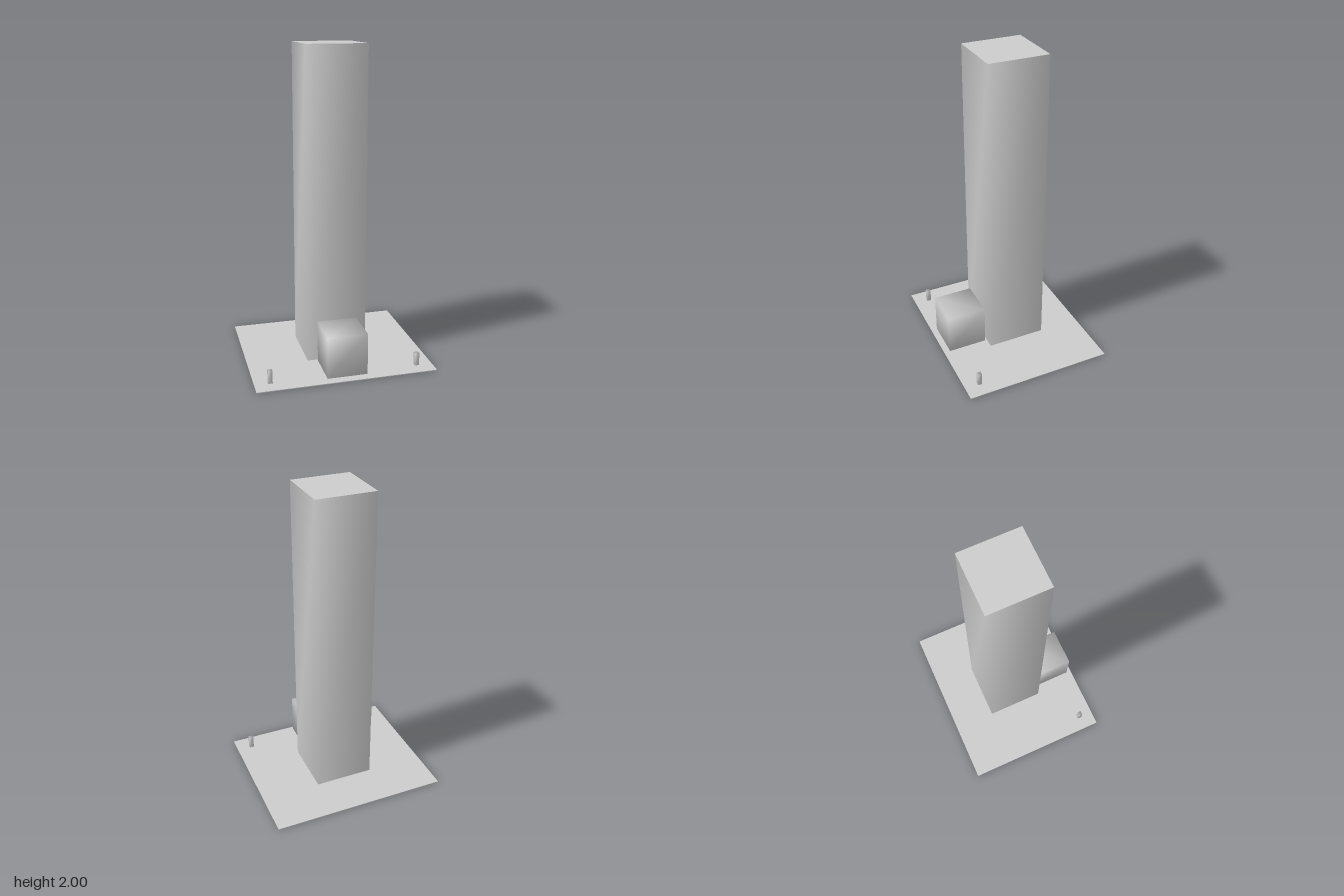
import * as THREE from 'three';
import { mergeVertices } from 'three/addons/utils/BufferGeometryUtils.js';

// Box given by its extents; soft boxes share normals across their corners.
function block(name, [x0, x1], [y0, y1], [z0, z1], material, soft = false) {
  let geometry = new THREE.BoxGeometry(x1 - x0, y1 - y0, z1 - z0);
  if (soft) geometry = soften(geometry);
  const mesh = new THREE.Mesh(geometry, material);
  mesh.name = name;
  mesh.position.set((x0 + x1) / 2, (y0 + y1) / 2, (z0 + z1) / 2);
  return mesh;
}

function soften(geometry) {
  geometry.deleteAttribute('normal');
  geometry.deleteAttribute('uv');
  const merged = mergeVertices(geometry);
  merged.computeVertexNormals();
  return merged;
}

export function createModel() {
  const model = new THREE.Group();
  model.name = 'towerBlock';
  const concrete = new THREE.MeshStandardMaterial({ color: 0xcccccc });
  concrete.name = 'concrete grey';

  // Ground slab
  model.add(block('groundSlab', [-0.571, 0.571], [0, 0.005], [-0.484, 0.481], concrete));

  // Tower: walls shaded smoothly around the corners, flat roof and underside
  const tower = new THREE.Group();
  tower.name = 'tower';
  const w = 0.381, bottom = 0.015, top = 2, h = top - bottom;
  const wallGeometry = new THREE.BoxGeometry(w, h, w);
  const sides = Array.from(wallGeometry.index.array);
  wallGeometry.setIndex([...sides.slice(0, 12), ...sides.slice(24)]);
  const walls = new THREE.Mesh(soften(wallGeometry), concrete);
  walls.name = 'towerWalls';
  walls.position.y = bottom + h / 2;
  tower.add(walls);
  for (const [name, y, turn] of [['towerRoof', top, -1], ['towerUnderside', bottom, 1]]) {
    const cap = new THREE.Mesh(new THREE.PlaneGeometry(w, w), concrete);
    cap.name = name;
    cap.rotation.x = turn * Math.PI / 2;
    cap.position.y = y;
    tower.add(cap);
  }
  tower.position.z = -0.014;
  model.add(tower);

  // Entrance panel on the tower front, behind the lobby
  model.add(block('entrancePanel', [-0.09, 0.09], [0.03, 0.17], [0.175, 0.179], concrete));

  // Entrance lobby
  model.add(block('entranceLobby', [-0.128, 0.126], [0.017, 0.283], [0.19, 0.445], concrete, true));

  // Two posts at the front corners of the slab
  for (const [name, x] of [['leftPost', 0.47], ['rightPost', -0.472]]) {
    model.add(block(name, [x - 0.014, x + 0.014], [0.004, 0.087], [0.368, 0.395], concrete, true));
  }
  return model;
}
